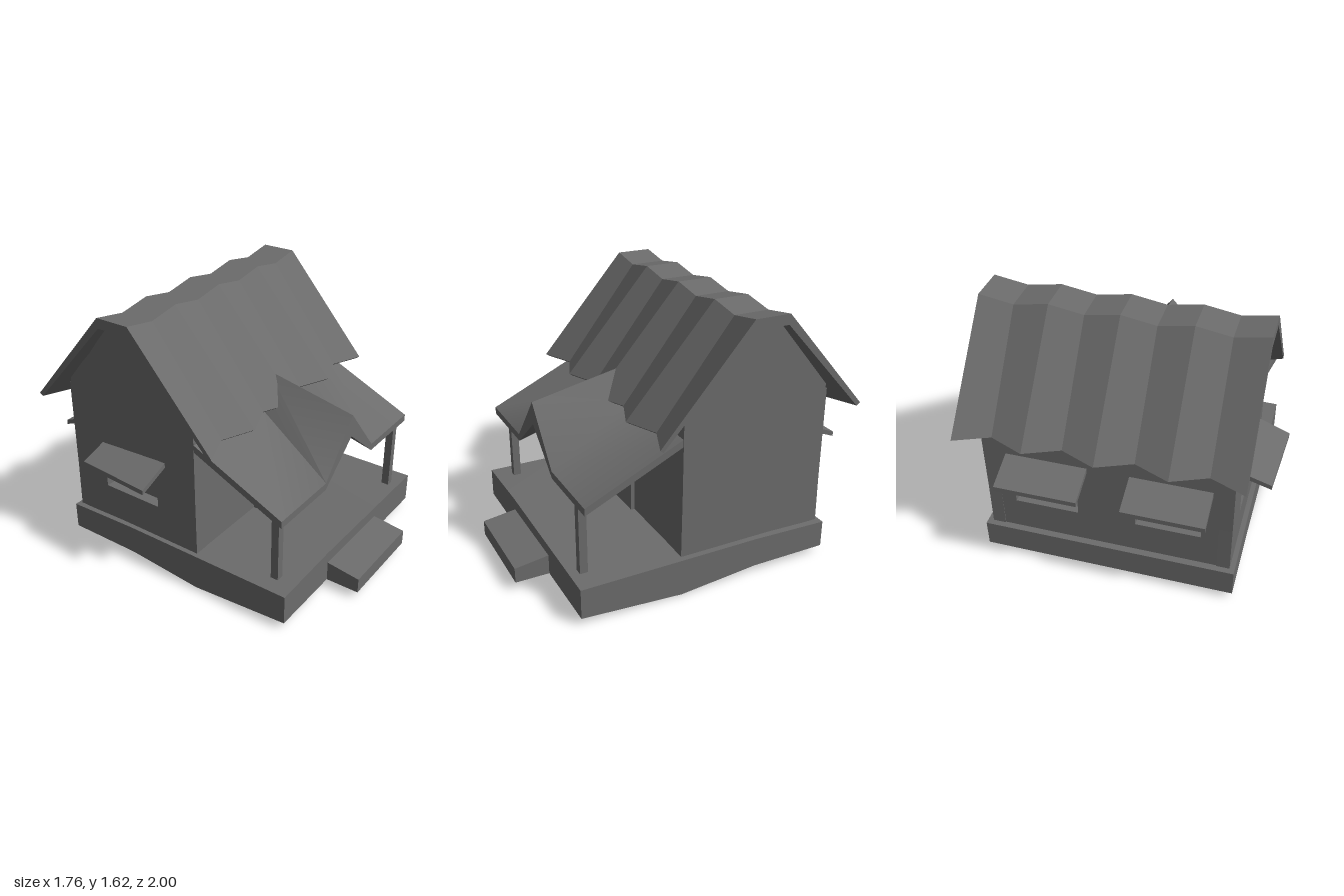
import * as THREE from 'three';
import { toCreasedNormals } from 'three/addons/utils/BufferGeometryUtils.js';

const material = new THREE.MeshStandardMaterial({ color: 0x6c6c6c, side: THREE.DoubleSide });

function addMesh(parent, name, geometry) {
  const mesh = new THREE.Mesh(geometry, material);
  mesh.name = name;
  parent.add(mesh);
  return mesh;
}

// Builds a geometry with one normal per quad; closed solids are turned outward by their signed volume
function fromQuads(quads) {
  const vectors = quads.map((quad) => quad.map((p) => new THREE.Vector3(...p)));
  const cross = new THREE.Vector3();
  let volume = 0;
  for (const [p, q, r, s] of vectors) {
    volume += p.dot(cross.crossVectors(q, r)) + p.dot(cross.crossVectors(r, s));
  }
  const positions = [], normals = [];
  for (const quad of vectors) {
    const [p, q, r, s] = volume < 0 ? quad.reverse() : quad;
    const normal = r.clone().sub(p).cross(s.clone().sub(q)).normalize();
    for (const v of [p, q, r, p, r, s]) {
      positions.push(...v.toArray());
      normals.push(...normal.toArray());
    }
  }
  const geometry = new THREE.BufferGeometry();
  geometry.setAttribute('position', new THREE.Float32BufferAttribute(positions, 3));
  geometry.setAttribute('normal', new THREE.Float32BufferAttribute(normals, 3));
  return geometry;
}

// Thick sheet lofted through sections, each with matching outer and inner lines
function loftSheet(sections) {
  const rings = sections.map(({ outer, inner }) => [...outer, ...[...inner].reverse()]);
  const quads = [];
  for (let i = 0; i < rings.length - 1; i++) {
    const r = rings[i], s = rings[i + 1];
    r.forEach((p, k) => {
      const n = (k + 1) % r.length;
      quads.push([p, r[n], s[n], s[k]]);
    });
  }
  const cap = ({ outer, inner }, flip) => {
    for (let k = 0; k < outer.length - 1; k++) {
      const q = [outer[k], inner[k], inner[k + 1], outer[k + 1]];
      quads.push(flip ? q.reverse() : q);
    }
  };
  cap(sections[0], true);
  cap(sections[sections.length - 1], false);
  return fromQuads(quads);
}

// Slab from an inner and an outer edge, with vertical thickness
function slab(innerA, innerB, outerA, outerB, thick) {
  const down = ([x, y, z]) => [x, y - thick, z];
  return loftSheet([[innerA, innerB], [outerA, outerB]].map((outer) => ({ outer, inner: outer.map(down) })));
}

// Open-bottomed platform: corners are [x, z, top, bottom], with an optional rectangular hole
function platform(parent, name, corners, hole) {
  const group = new THREE.Group();
  group.name = name;
  parent.add(group);
  addMesh(group, name + 'Sides', fromQuads(corners.map((p, i) => {
    const q = corners[(i + 1) % corners.length];
    return [[p[0], p[3], p[1]], [q[0], q[3], q[1]], [q[0], q[2], q[1]], [p[0], p[2], p[1]]];
  })));
  const shape = new THREE.Shape(corners.map(([x, z]) => new THREE.Vector2(x, -z)));
  if (hole) shape.holes.push(rectangle(...hole));
  const top = new THREE.ShapeGeometry(shape).rotateX(-Math.PI / 2);
  const pos = top.attributes.position;
  for (let i = 0; i < pos.count; i++) {
    const c = corners.find(([x, z]) => Math.hypot(x - pos.getX(i), z - pos.getZ(i)) < 1e-4);
    pos.setY(i, c ? c[2] : 0.23);
  }
  top.computeVertexNormals();
  addMesh(group, name + 'Top', top);
}

function rectangle(x0, x1, y0, y1) {
  return new THREE.Path([[x0, y0], [x0, y1], [x1, y1], [x1, y0]].map((p) => new THREE.Vector2(...p)));
}

function wall(points, depth, windows = []) {
  const shape = new THREE.Shape(points.map((p) => new THREE.Vector2(...p)));
  windows.forEach((w) => shape.holes.push(rectangle(...w)));
  return new THREE.ExtrudeGeometry(shape, { depth, bevelEnabled: false });
}

function box(x0, x1, y0, y1, z0, z1) {
  return new THREE.BoxGeometry(x1 - x0, y1 - y0, z1 - z0).translate((x0 + x1) / 2, (y0 + y1) / 2, (z0 + z1) / 2);
}

export function createModel() {
  const house = new THREE.Group();
  house.name = 'house';
  const L = -0.68, R = 0.8, T = 0.1, G = 0.08;

  // Base with sagging sides, and the front step
  platform(house, 'base', [
    [-0.71, 0.79, 0.23, 0.045], [-0.24, 0.79, 0.245, 0.045], [0.837, 0.79, 0.23, 0.045],
    [0.837, 0.16, 0.23, 0.0], [0.837, -0.34, 0.23, 0.045], [0.837, -0.83, 0.215, 0.045],
    [-0.71, -0.83, 0.215, 0.045], [-0.71, -0.34, 0.23, 0.045], [-0.71, 0.16, 0.23, 0.0],
  ], [L + G, R - G, -0.048, 0.695]);
  platform(house, 'step', [
    [-0.235, 0.79, 0.17, 0.045], [-0.235, 1, 0.14, 0.045], [0.355, 1, 0.14, 0.045], [0.355, 0.79, 0.17, 0.045],
  ]);

  // Front and back walls, with closed panes deep in the back windows
  const face = (top) => [[L, 0.222], [R, 0.222], [R, top], [L, top]];
  const backWindows = [[0.24, 0.63, 0.43, 0.77], [-0.5, -0.11, 0.43, 0.77]];
  addMesh(house, 'frontWall', wall(face(1.07), T)).position.z = 0.148 - T;
  addMesh(house, 'backWall', wall(face(1.1), T, backWindows)).position.z = -0.795;
  for (const w of backWindows) addMesh(house, 'backPane', box(...w, -0.7, -0.69));

  // Gable walls, drawn in (-z, y) and turned to face sideways
  const gable = [[-0.15, 0.222], [0.8, 0.222], [0.785, 1.13], [0.43, 1.555], [0.225, 1.555], [-0.145, 1.125]];
  for (const [name, x, windows] of [['leftGable', R - G, []], ['rightGable', L, [[0.14, 0.55, 0.45, 0.72]]]]) {
    addMesh(house, name, wall(gable, G, windows).rotateY(Math.PI / 2)).position.x = x;
  }
  addMesh(house, 'sidePane', box(L + G - 0.01, L + G, 0.45, 0.72, -0.55, -0.14));

  // Window awnings
  for (const [x0, x1] of [[0.17, 0.66], [-0.56, -0.08]]) {
    addMesh(house, 'backAwning',
      slab([x0, 0.805, -0.78], [x1, 0.805, -0.78], [x0, 0.72, -0.995], [x1, 0.72, -0.995], 0.03));
  }
  addMesh(house, 'sideAwning',
    slab([-0.66, 0.765, -0.56], [-0.66, 0.79, -0.07], [-0.85, 0.705, -0.56], [-0.88, 0.7, -0.07], 0.03));

  // Main roof: ripples along x between high and low sections
  const roof = [];
  for (let i = 0; i <= 8; i++) {
    const x = -0.76 + i * 0.205, low = i % 2;
    const front = 0.335 - 0.085 * low, back = -0.985 + 0.085 * low, top = 1.62 - 0.035 * low;
    roof.push({
      outer: [[x, 0.985, front], [x, top, -0.22], [x, top, -0.44], [x, 1.003, back]],
      inner: [[x, 0.97, front - 0.02], [x, 1.558, -0.225], [x, 1.558, -0.435], [x, 0.988, back + 0.025]],
    });
  }
  addMesh(house, 'mainRoof', loftSheet(roof));

  // Porch roof with a softly blended peak over the door that narrows toward the house
  const porchSection = (z, half, y, peak, thick, peakThick) => {
    const line = (d, e) => [[L, y - d, z], [0.06 - half, y - d, z], [0.06, peak - e, z], [0.06 + half, y - d, z], [R, y - d, z]];
    return { outer: line(0, 0), inner: line(thick, peakThick) };
  };
  addMesh(house, 'porchRoof', toCreasedNormals(loftSheet([
    porchSection(0.738, 0.275, 0.703, 1.025, 0.045, 0.14),
    porchSection(0.15, 0.12, 0.975, 1.15, 0.045, 0.1),
  ]), 1));

  // Porch posts and door
  addMesh(house, 'rightPost', box(-0.61, -0.562, 0.19, 0.7, 0.63, 0.678));
  addMesh(house, 'leftPost', box(0.65, 0.697, 0.19, 0.685, 0.685, 0.733));
  addMesh(house, 'door', box(-0.087, 0.2, 0.222, 0.765, 0.044, 0.172));

  return house;
}
